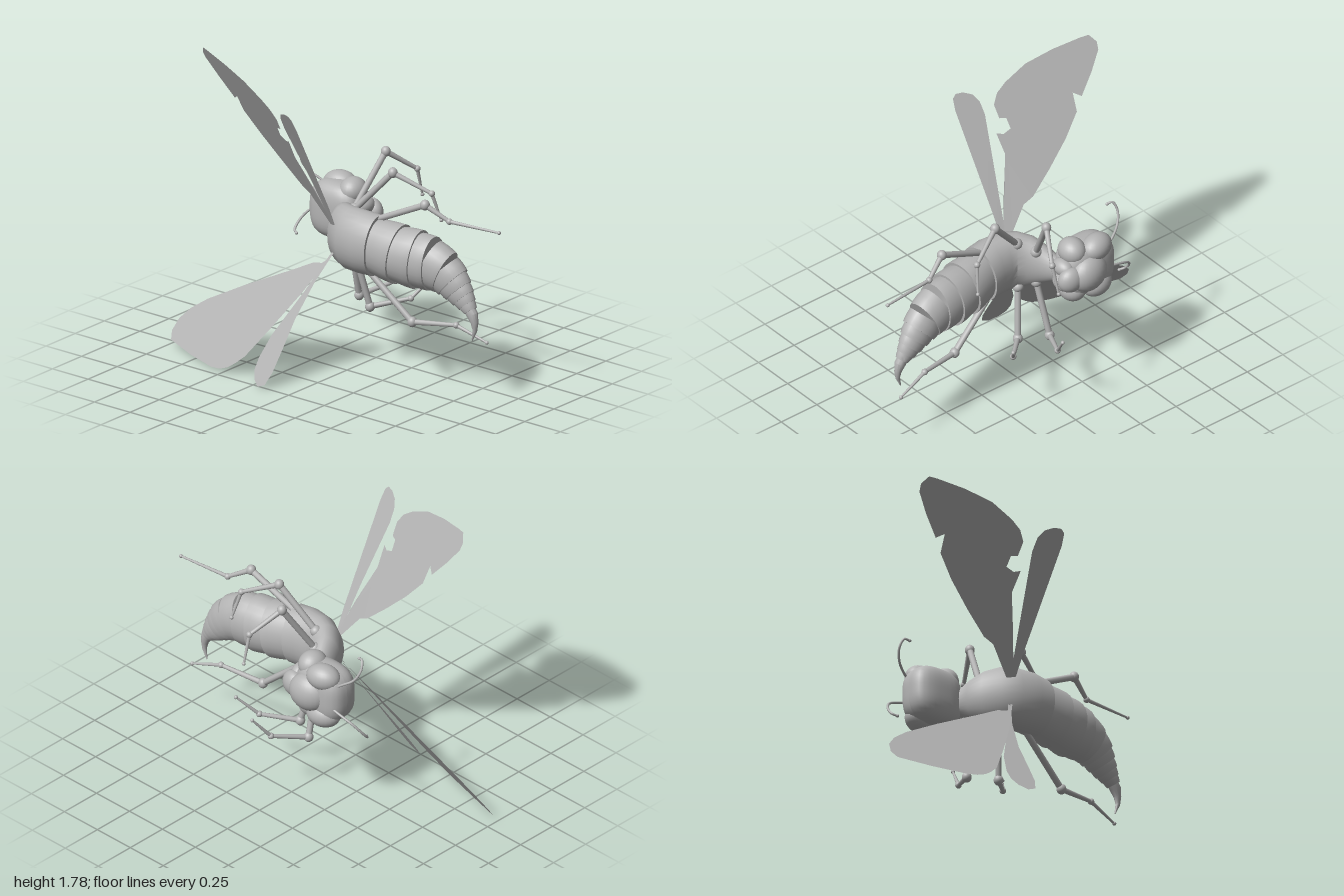
import * as THREE from 'three';
import { toCreasedNormals } from 'three/addons/utils/BufferGeometryUtils.js';

const V = (p) => new THREE.Vector3(p[0], p[1], p[2]);

// Skin elliptical rings [x, y, z, lateralRadius, dorsalRadius] along a spine
function loft(rings, sides = 24, crease = 0.6) {
  const pos = [], index = [], Z = new THREE.Vector3(0, 0, 1);
  const n = rings.length;
  rings.forEach((r, i) => {
    const t = V(rings[Math.min(i + 1, n - 1)]).sub(V(rings[Math.max(i - 1, 0)])).normalize();
    const up = Z.clone().addScaledVector(t, -t.z).normalize();
    const side = up.clone().cross(t);
    for (let j = 0; j < sides; j++) {
      const a = (j / sides) * Math.PI * 2;
      const p = V(r).addScaledVector(side, Math.cos(a) * r[3]).addScaledVector(up, Math.sin(a) * r[4]);
      pos.push(p.x, p.y, p.z);
      if (i < n - 1) {
        const k = (j + 1) % sides, o = i * sides, q = o + sides;
        index.push(o + j, o + k, q + j, o + k, q + k, q + j);
      }
    }
  });
  // End caps
  [0, n - 1].forEach((i) => {
    const c = pos.length / 3, o = i * sides;
    pos.push(rings[i][0], rings[i][1], rings[i][2]);
    for (let j = 0; j < sides; j++) {
      const k = (j + 1) % sides;
      if (i === 0) index.push(c, o + k, o + j);
      else index.push(c, o + j, o + k);
    }
  });
  const g = new THREE.BufferGeometry();
  g.setAttribute('position', new THREE.Float32BufferAttribute(pos, 3));
  g.setIndex(index);
  return toCreasedNormals(g, crease);
}

export function createModel() {
  const root = new THREE.Group();
  root.name = 'insect';
  const grey = new THREE.MeshStandardMaterial({ color: 0xb4b4b4 });
  grey.name = 'grey';
  const wingGrey = new THREE.MeshStandardMaterial({ color: 0xb4b4b4, side: THREE.DoubleSide });
  wingGrey.name = 'wing grey';

  const add = (name, geo, parent = root, mat = grey) => {
    const m = new THREE.Mesh(geo, mat);
    m.name = name;
    parent.add(m);
    return m;
  };
  const ball = (name, c, r, parent = root, turn = 0) => {
    const m = add(name, new THREE.SphereGeometry(1, 24, 16), parent);
    m.position.set(...c);
    m.scale.set(...r);
    m.rotation.y = turn;
    return m;
  };
  const bone = (name, a, b, r1, r2, parent) => {
    const d = V(b).sub(V(a));
    const m = add(name, new THREE.CylinderGeometry(r2, r1, d.length(), 10), parent);
    m.position.copy(V(a).add(V(b)).multiplyScalar(0.5));
    m.quaternion.setFromUnitVectors(new THREE.Vector3(0, 1, 0), d.normalize());
  };

  // Thorax, curving back from the neck into the abdomen
  add('thorax', loft([
    [-0.14, 0.8, -0.24, 0.06, 0.05], [-0.11, 0.8, -0.18, 0.085, 0.055], [-0.09, 0.8, -0.12, 0.12, 0.07],
    [-0.055, 0.8, -0.05, 0.155, 0.09], [0, 0.8, 0.01, 0.175, 0.105], [0.07, 0.8, 0.04, 0.18, 0.12],
    [0.16, 0.8, 0.045, 0.18, 0.13], [0.24, 0.795, 0.035, 0.175, 0.135],
  ], 28));

  // Abdomen of overlapping cups: [x, y, z, lateral, dorsal] at the flared end of each
  const abdomen = new THREE.Group();
  abdomen.name = 'abdomen';
  root.add(abdomen);
  const ends = [
    [0.23, 0.795, 0.035, 0.172, 0.13], [0.38, 0.775, 0.015, 0.172, 0.142], [0.5, 0.765, -0.005, 0.17, 0.132],
    [0.59, 0.76, -0.015, 0.155, 0.118], [0.67, 0.725, -0.025, 0.132, 0.1], [0.72, 0.678, -0.03, 0.115, 0.085],
    [0.757, 0.638, -0.033, 0.095, 0.07], [0.79, 0.602, -0.035, 0.077, 0.058], [0.817, 0.57, -0.035, 0.058, 0.046],
    [0.84, 0.54, -0.035, 0.042, 0.036],
  ];
  for (let i = 1; i < ends.length; i++) {
    const a = ends[i - 1], b = ends[i];
    const mix = (t, s) => a.map((v, k) => (v + (b[k] - v) * t) * (k > 2 ? s : 1));
    add('abdomenSegment' + i, loft([mix(-0.2, 0.88), mix(0.3, 0.95), mix(0.7, 0.99), mix(1, 1)]), abdomen);
  }
  add('stinger', loft([
    [0.825, 0.56, -0.035, 0.034, 0.03], [0.853, 0.52, -0.035, 0.034, 0.03], [0.868, 0.475, -0.035, 0.022, 0.02],
    [0.87, 0.43, -0.035, 0.013, 0.012], [0.85, 0.37, -0.035, 0.003, 0.003],
  ], 12), abdomen);

  // Head: a sphere pushed towards a rounded box, with eyes, cheeks and mouthparts
  const head = new THREE.Group();
  head.name = 'head';
  root.add(head);
  const skull = new THREE.SphereGeometry(1, 32, 24), p = skull.attributes.position;
  for (let i = 0; i < p.count; i++) {
    const v = new THREE.Vector3().fromBufferAttribute(p, i);
    const k = Math.pow(Math.abs(v.x) ** 3 + Math.abs(v.y) ** 3 + Math.abs(v.z) ** 3, -1 / 3);
    v.multiplyScalar(k);
    p.setXYZ(i, v.x * 0.165 - 0.262, v.y * 0.165 + 0.81, v.z * 0.115 - 0.255);
  }
  skull.computeVertexNormals();
  add('skull', skull, head);
  ball('face', [-0.22, 0.81, -0.34], [0.12, 0.11, 0.085], head, 0.15);
  ball('mouthparts', [-0.1, 0.81, -0.335], [0.075, 0.075, 0.055], head, -0.2);
  for (const s of [1, -1]) {
    ball('eye', [-0.3, 0.81 + s * 0.12, -0.31], [0.1, 0.075, 0.075], head, 0.25);
    ball('cheek', [-0.17, 0.81 + s * 0.125, -0.26], [0.075, 0.075, 0.085], head);
    ball('jaw', [-0.1, 0.81 + s * 0.05, -0.27], [0.05, 0.05, 0.07], head);
  }

  // Antennae
  const antennae = [
    [[-0.36, 0.88, -0.31], [-0.43, 0.93, -0.295], [-0.485, 0.97, -0.265], [-0.51, 1.03, -0.235], [-0.495, 1.08, -0.21], [-0.465, 1.075, -0.2]],
    [[-0.35, 0.78, -0.33], [-0.43, 0.76, -0.33], [-0.52, 0.72, -0.31], [-0.56, 0.66, -0.27], [-0.56, 0.62, -0.235], [-0.535, 0.61, -0.22]],
  ];
  for (const path of antennae) {
    add('antenna', new THREE.TubeGeometry(new THREE.CatmullRomCurve3(path.map(V)), 30, 0.007, 8));
    ball('antennaTip', path[5], [0.009, 0.009, 0.009]);
  }

  // Legs: root, knee, ankle, foot
  const legs = {
    upperForeleg: [[-0.04, 0.9, -0.11], [0.035, 1.2, -0.29], [0.125, 1.075, -0.45], [0.12, 0.91, -0.5]],
    upperMidleg: [[0.03, 0.94, -0.03], [0.24, 1.18, -0.1], [0.44, 1.08, -0.19], [0.47, 0.92, -0.235]],
    upperHindleg: [[0.18, 0.92, 0.03], [0.54, 1.09, -0.01], [0.67, 1.01, -0.06], [0.99, 1.01, -0.095]],
    lowerForeleg: [[-0.05, 0.69, -0.1], [-0.07, 0.37, -0.19], [0.03, 0.42, -0.38], [0.075, 0.55, -0.48]],
    lowerMidleg: [[0.03, 0.66, -0.04], [0.08, 0.365, -0.1], [0.24, 0.405, -0.255], [0.32, 0.525, -0.355]],
    lowerHindleg: [[0.14, 0.66, 0.03], [0.45, 0.39, -0.01], [0.71, 0.415, -0.07], [0.9, 0.35, -0.1]],
  };
  for (const [name, [hip, knee, ankle, foot]] of Object.entries(legs)) {
    const leg = new THREE.Group();
    leg.name = name;
    root.add(leg);
    ball('hip', hip, [0.032, 0.032, 0.032], leg);
    bone('thigh', hip, knee, 0.018, 0.018, leg);
    ball('knee', knee, [0.027, 0.03, 0.027], leg);
    bone('shin', knee, ankle, 0.016, 0.011, leg);
    ball('ankle', ankle, [0.018, 0.018, 0.018], leg);
    bone('tarsus', ankle, foot, 0.011, 0.006, leg);
    ball('foot', foot, [0.011, 0.011, 0.011], leg);
  }

  // Wings: flat outlines in x and y, tilted by z = 0.1 + a x + b |y - y0|
  const wing = (name, pts, a, b, y0) => {
    const g = new THREE.ShapeGeometry(new THREE.Shape(pts.map((q) => new THREE.Vector2(q[0], q[1]))));
    const w = g.attributes.position;
    for (let i = 0; i < w.count; i++) w.setZ(i, 0.1 + a * w.getX(i) + b * Math.abs(w.getY(i) - y0));
    g.computeVertexNormals();
    add(name, g, root, wingGrey);
  };
  wing('upperForewing', [
    [0.01, 0.86], [-0.06, 1.08], [-0.14, 1.29], [-0.13, 1.4], [-0.165, 1.39], [-0.21, 1.41], [-0.205, 1.465],
    [-0.17, 1.47], [-0.165, 1.54], [-0.2, 1.595], [-0.26, 1.64], [-0.39, 1.71], [-0.55, 1.755], [-0.71, 1.785],
    [-0.755, 1.79], [-0.785, 1.75], [-0.78, 1.71], [-0.71, 1.61], [-0.62, 1.5], [-0.58, 1.525], [-0.57, 1.43],
    [-0.47, 1.31], [-0.34, 1.18], [-0.21, 1.06], [-0.15, 1.03], [-0.02, 0.86],
  ], 0.387, 0.548, 0.87);
  wing('upperHindwing', [
    [-0.01, 0.86], [-0.05, 1.15], [-0.105, 1.5], [-0.1, 1.57], [-0.075, 1.61], [-0.03, 1.63], [0.01, 1.63],
    [0.032, 1.61], [0.04, 1.55], [0.02, 1], [0.015, 0.86],
  ], 0.35, 0.545, 0.87);
  wing('lowerForewing', [
    [0, 0.74], [-0.03, 0.68], [-0.06, 0.655], [-0.125, 0.64], [-0.26, 0.57], [-0.58, 0.41], [-0.82, 0.28], [-0.92, 0.21],
    [-0.98, 0.145], [-1, 0.08], [-0.98, 0.04], [-0.79, 0.018], [-0.6, 0.01], [-0.53, 0.018], [-0.47, 0.04], [-0.42, 0.075],
    [-0.37, 0.12], [-0.26, 0.28], [-0.125, 0.49], [0, 0.72],
  ], 0.273, 0.686, 0.74);
  wing('lowerHindwing', [
    [0, 0.73], [-0.07, 0.55], [-0.115, 0.36], [-0.128, 0.2], [-0.14, 0.09], [-0.165, 0.025], [-0.215, 0.005],
    [-0.26, 0.03], [-0.285, 0.07], [-0.285, 0.13], [-0.25, 0.25], [-0.125, 0.49], [-0.02, 0.72],
  ], 0.273, 0.64, 0.73);

  return root;
}
